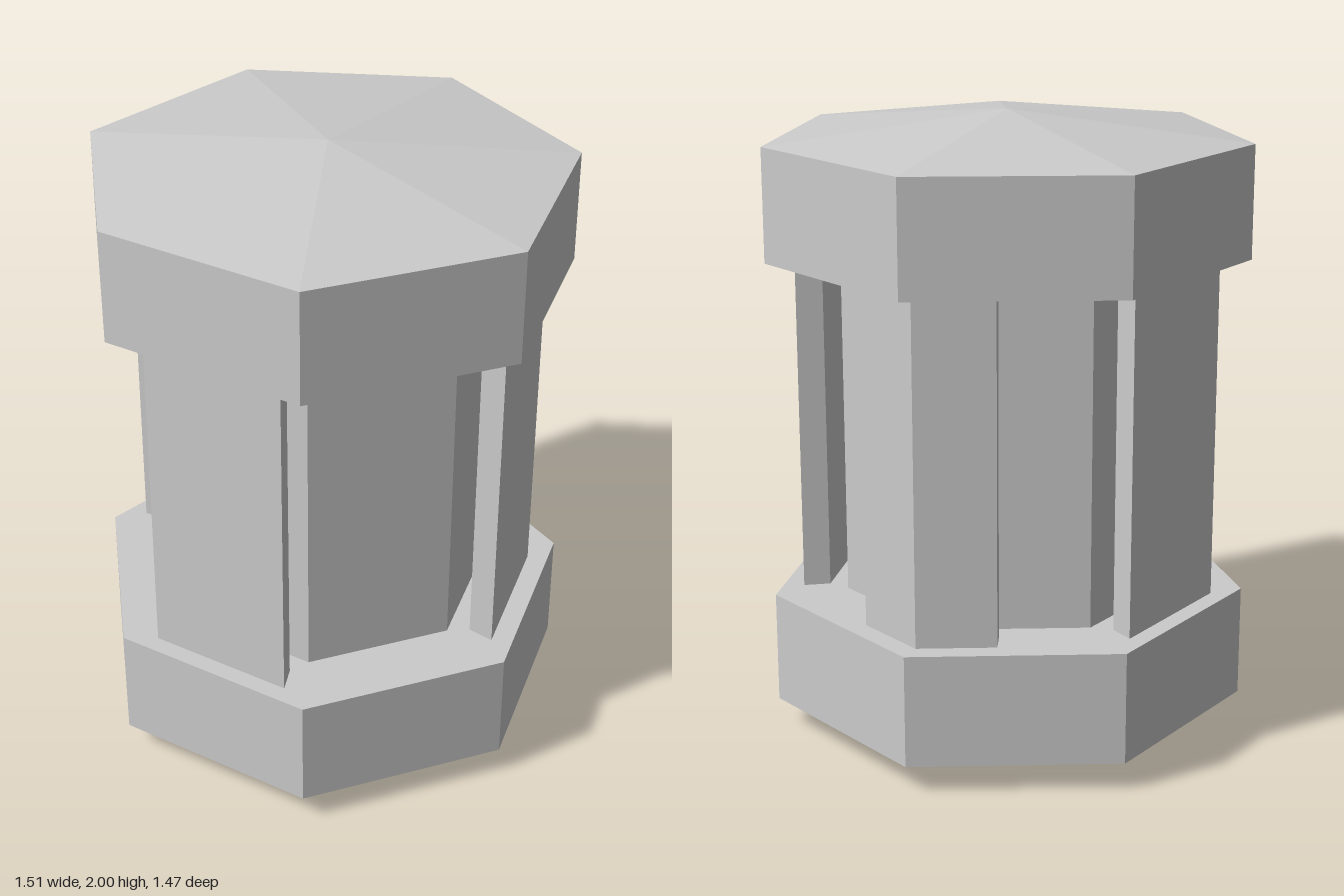
import * as THREE from 'three';

const SIDES = 7;
const STEP = (Math.PI * 2) / SIDES;
const CENTER_Z = 0.035;
const LOW = 0.455;
const HIGH = 1.55;

const material = new THREE.MeshStandardMaterial({ color: 0xcccccc, flatShading: true });

function addPart(group, name, geometry) {
  const mesh = new THREE.Mesh(geometry, material);
  mesh.name = name;
  group.add(mesh);
  return mesh;
}

// Seven-sided solid with one corner at the back, from [radius, height] pairs
function heptagon(profile) {
  const points = profile.map(([r, y]) => new THREE.Vector2(r, y));
  return new THREE.LatheGeometry(points, SIDES, Math.PI);
}

// Plan point on a heptagon outline, angle measured from the front towards +x
function outline(radius, angle) {
  const fromFace = angle - Math.round(angle / STEP) * STEP;
  const r = (radius * Math.cos(STEP / 2)) / Math.cos(fromFace);
  return new THREE.Vector2(r * Math.sin(angle), -r * Math.cos(angle));
}

// Section of a heptagonal shell with radial ends; it folds when centred on a corner
function shellPanel(middle) {
  const half = THREE.MathUtils.degToRad(20.5);
  const angles = [middle - half, middle, middle + half];
  const outer = angles.map((a) => outline(0.707, a));
  const inner = angles.map((a) => outline(0.618, a)).reverse();
  const geometry = new THREE.ExtrudeGeometry(new THREE.Shape([...outer, ...inner]), {
    depth: HIGH - LOW,
    bevelEnabled: false,
  });
  return geometry.rotateX(-Math.PI / 2).translate(0, LOW, 0);
}

export function createModel() {
  const model = new THREE.Group();
  model.name = 'heptagonalCanister';

  // End caps with shallow pointed faces
  const body = new THREE.Group();
  body.name = 'body';
  body.position.z = CENTER_Z;
  model.add(body);
  addPart(body, 'bottomCap', heptagon([[0, 0], [0.775, 0.092], [0.775, LOW], [0, LOW]]));
  addPart(body, 'topCap', heptagon([[0, HIGH], [0.775, HIGH], [0.775, 1.912], [0, 2]]));

  // Inner column and the guard panels standing around it
  const middle = new THREE.Group();
  middle.name = 'middleSection';
  middle.position.x = -0.006;
  body.add(middle);
  addPart(middle, 'innerColumn', heptagon([[0.543, LOW], [0.543, HIGH]]));
  // Three flat panels and one folded around the back corner
  [1, 2.5, 4, 6].forEach((side) => addPart(middle, 'guardPanel', shellPanel(side * STEP)));

  return model;
}
